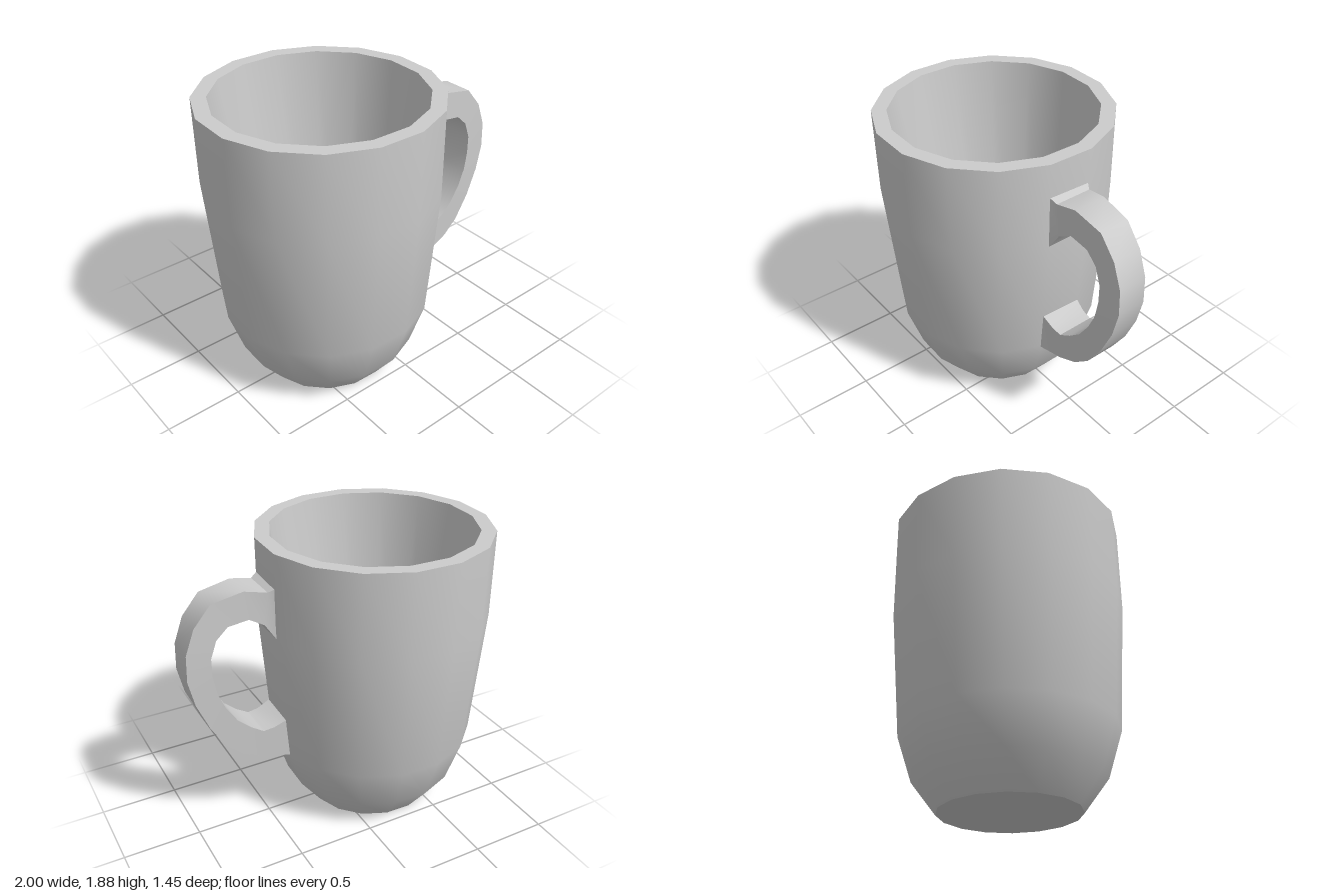
import * as THREE from 'three';
import { toCreasedNormals } from 'three/addons/utils/BufferGeometryUtils.js';

const material = new THREE.MeshStandardMaterial({ color: 0xcccccc });
const CREASE = 0.7;

// Sixteen-sided cup: rounded outside, plain tapering inside, one closed profile
function createCup() {
  const profile = [
    [0, 0], [0.43, 0], [0.58, 0.2], [0.672, 0.49], [0.735, 1.33], [0.735, 1.88],
    [0.643, 1.88], [0.39, 0.09], [0, 0.09],
  ].map(([r, y]) => new THREE.Vector2(r, y));
  const phase = THREE.MathUtils.degToRad(90 - 12.8);
  const cup = new THREE.Mesh(
    toCreasedNormals(new THREE.LatheGeometry(profile, 16, phase), CREASE), material);
  cup.name = 'cup';
  cup.position.x = -0.277;
  return cup;
}

// Four-sided handle, flared where it meets the cup, slightly narrower on its outer face
function createHandle() {
  // Each section: outer x, outer y, inner x, inner y, back z, front z
  const sections = [
    [0.43, 1.67, 0.43, 1.315, -0.122, 0.165],
    [0.48, 1.64, 0.51, 1.44, -0.095, 0.15],
    [0.62, 1.67, 0.6, 1.49, -0.08, 0.143],
    [0.82, 1.63, 0.73, 1.47, -0.072, 0.14],
    [0.93, 1.5, 0.805, 1.4, -0.072, 0.14],
    [0.99, 1.34, 0.845, 1.29, -0.073, 0.14],
    [0.997, 1.17, 0.845, 1.17, -0.074, 0.14],
    [0.96, 1.0, 0.825, 1.05, -0.075, 0.141],
    [0.885, 0.82, 0.78, 0.94, -0.078, 0.143],
    [0.785, 0.66, 0.71, 0.83, -0.082, 0.144],
    [0.68, 0.57, 0.63, 0.76, -0.088, 0.146],
    [0.55, 0.515, 0.55, 0.71, -0.097, 0.15],
    [0.48, 0.502, 0.48, 0.72, -0.103, 0.152],
    [0.375, 0.483, 0.395, 0.76, -0.117, 0.157],
  ];
  const last = sections.length - 1;
  const positions = [];
  const index = [];
  sections.forEach(([ox, oy, ix, iy, z0, z1], s) => {
    const inset = 0.012 * Math.sin((Math.PI * s) / last);
    positions.push(ox, oy, z1 - inset, ox, oy, z0 + inset, ix, iy, z0, ix, iy, z1);
    if (s === last) return;
    for (let k = 0; k < 4; k++) {
      const a = s * 4 + k;
      const b = s * 4 + (k + 1) % 4;
      index.push(a, a + 4, b, b, a + 4, b + 4);
    }
  });
  // End caps against the cup wall
  const e = last * 4;
  index.push(0, 1, 2, 0, 2, 3, e, e + 2, e + 1, e, e + 3, e + 2);

  const geometry = new THREE.BufferGeometry();
  geometry.setAttribute('position', new THREE.Float32BufferAttribute(positions, 3));
  geometry.setIndex(index);
  const handle = new THREE.Mesh(toCreasedNormals(geometry, CREASE), material);
  handle.name = 'handle';
  return handle;
}

export function createModel() {
  const mug = new THREE.Group();
  mug.name = 'mug';
  mug.add(createCup(), createHandle());
  return mug;
}
